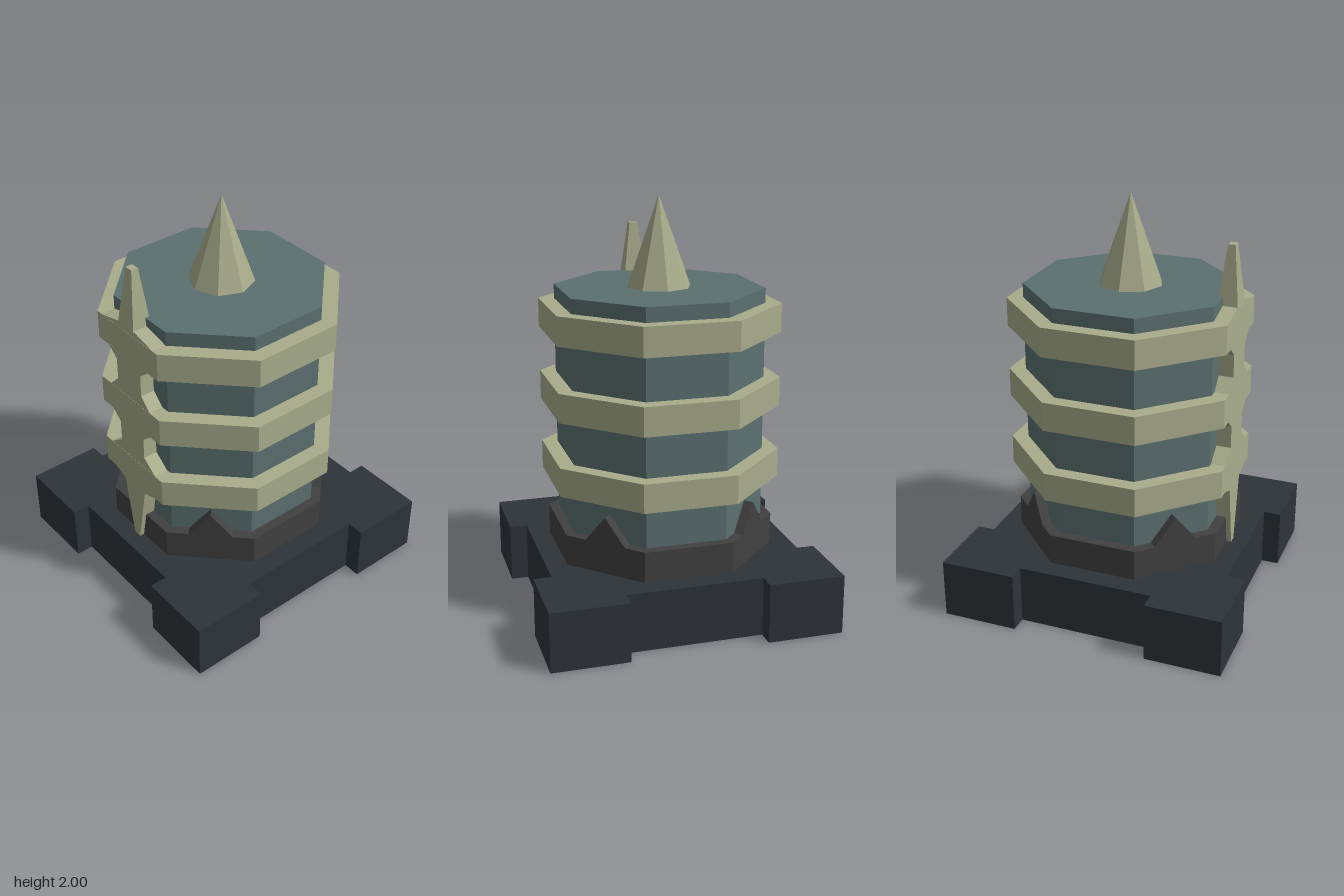
import * as THREE from 'three';

const material = (color) =>
  new THREE.MeshStandardMaterial({ color, flatShading: true, side: THREE.DoubleSide });

export function createModel() {
  const model = new THREE.Group();
  const slate = material(0x2e3439);
  const charcoal = material(0x424141);
  const teal = material(0x5c7070);
  const sand = material(0xa8ac8b);

  const add = (name, geometry, mat, parent = model) => {
    const mesh = new THREE.Mesh(geometry, mat);
    mesh.name = name;
    parent.add(mesh);
    return mesh;
  };

  // Octagonal drum with flat sides facing the axes
  const octagon = (name, apothem, y0, y1, mat) => {
    const r = apothem / Math.cos(Math.PI / 8);
    const geometry = new THREE.CylinderGeometry(r, r, y1 - y0, 8);
    geometry.rotateY(Math.PI / 8);
    geometry.translate(0, (y0 + y1) / 2, 0);
    return add(name, geometry, mat);
  };

  // Plinth: square with projecting corners, hollow and open underneath
  const E = 0.7, C = 0.33, N = 0.615, H = 0.29;
  const outline = [];
  for (let i = 0; i < 4; i++) {
    for (const [x, z] of [[C, N], [C, E], [E, E], [E, C], [N, C]]) {
      const p = new THREE.Vector2(x, z);
      outline.push(p.rotateAround(new THREE.Vector2(), -i * Math.PI / 2));
    }
  }
  const plinth = new THREE.Group();
  plinth.name = 'plinth';
  model.add(plinth);
  const top = new THREE.ShapeGeometry(new THREE.Shape(outline));
  top.rotateX(-Math.PI / 2);
  top.translate(0, H, 0);
  add('plinthTop', top, slate, plinth);
  outline.forEach((a, i) => {
    const b = outline[(i + 1) % outline.length];
    const wall = new THREE.PlaneGeometry(a.distanceTo(b), H);
    // Turn each wall so that it faces outwards
    wall.rotateY(Math.atan2(a.y - b.y, a.x - b.x) * -1);
    wall.translate((a.x + b.x) / 2, H / 2, (a.y + b.y) / 2);
    add('plinthWall', wall, slate, plinth);
  });

  // Collar with a pointed tooth on each diagonal side
  octagon('collar', 0.515, H, 0.44, charcoal);
  for (let i = 0; i < 4; i++) {
    const triangle = new THREE.Shape([
      new THREE.Vector2(-0.107, 0), new THREE.Vector2(0.107, 0), new THREE.Vector2(0, 0.13),
    ]);
    const tooth = new THREE.ExtrudeGeometry(triangle, { depth: 0.055, bevelEnabled: false });
    tooth.translate(0, 0.44, 0.46);
    tooth.rotateY(Math.PI / 4 + i * Math.PI / 2);
    add('collarTooth', tooth, charcoal);
  }

  // Tower body, bands and roof spire
  octagon('tower', 0.468, H, 1.57, teal);
  for (const y of [0.64, 1.0, 1.36]) octagon('band', 0.54, y, y + 0.14, sand);
  const spire = new THREE.ConeGeometry(0.156, 0.43, 8);
  spire.translate(0, 1.785, 0);
  add('spire', spire, sand);

  // Upright strap on one side: pointed foot, flaring where it meets the bands
  const half = [
    [0.02, 0.29], [0.08, 0.61], [0.17, 0.64], [0.17, 0.78],
    [0.09, 0.84], [0.09, 0.95], [0.15, 1.0], [0.15, 1.14],
    [0.09, 1.2], [0.09, 1.31], [0.15, 1.36], [0.19, 1.5], [0.058, 1.53],
  ];
  const mirrored = half.map(([z, y]) => [-z, y]).reverse();
  const strapShape = new THREE.Shape(
    [...half, ...mirrored].map(([z, y]) => new THREE.Vector2(z, y)));
  const strap = new THREE.ExtrudeGeometry(strapShape, { depth: 0.079, bevelEnabled: false });
  strap.rotateY(-Math.PI / 2);
  strap.translate(-0.46, 0, 0);
  add('strap', strap, sand);

  // Tapered finial on top of the strap
  const finial = new THREE.CylinderGeometry(0.36 * Math.SQRT2, Math.SQRT2, 0.29, 4);
  finial.rotateY(Math.PI / 4);
  finial.scale(0.049, 1, 0.058);
  finial.translate(-0.491, 1.665, -0.004);
  add('strapFinial', finial, sand);

  return model;
}
